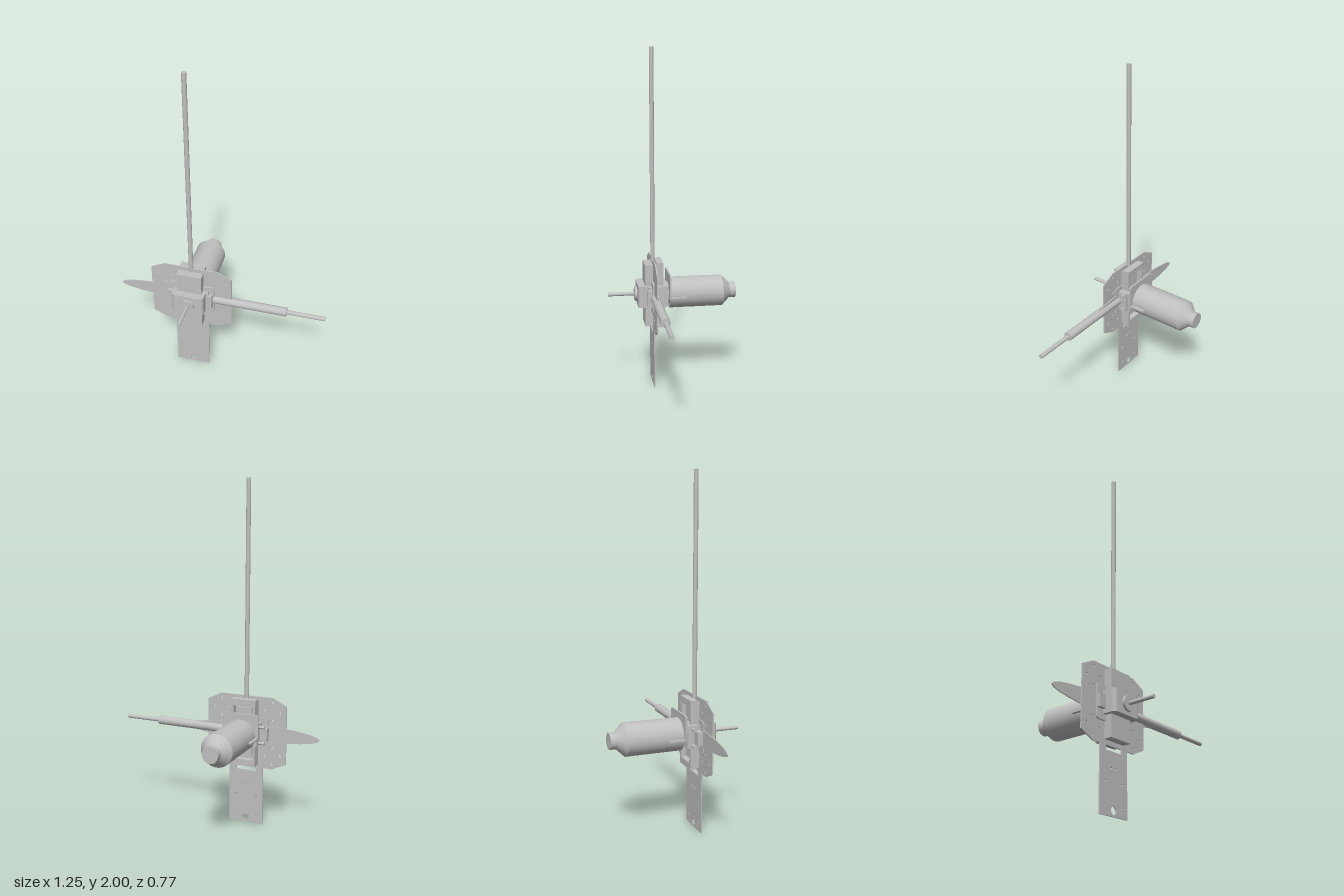
import * as THREE from 'three';

const CX = -0.18, CY = 0.562, ROD_Z = 0.117;

export function createModel() {
  const model = new THREE.Group();
  model.name = 'motorAssembly';
  const grey = new THREE.MeshStandardMaterial({ color: 0xc0c0c0 });
  grey.name = 'grey';

  const add = (name, geo, x = 0, y = 0, z = 0) => {
    const m = new THREE.Mesh(geo, grey);
    m.name = name;
    m.position.set(x, y, z);
    model.add(m);
    return m;
  };
  // Box given by its limits
  const box = (name, x0, x1, y0, y1, z0, z1) =>
    add(name, new THREE.BoxGeometry(x1 - x0, y1 - y0, z1 - z0), (x0 + x1) / 2, (y0 + y1) / 2, (z0 + z1) / 2);
  const circle = (x, y, r) => new THREE.Path().absarc(x, y, r, 0, Math.PI * 2, true);
  const rect = (P, x0, x1, y0, y1) => {
    const s = new P();
    s.moveTo(x0, y0); s.lineTo(x1, y0); s.lineTo(x1, y1); s.lineTo(x0, y1); s.closePath();
    return s;
  };
  const roundRect = (x0, x1, y0, y1, r) => {
    const s = new THREE.Shape();
    s.absarc(x1 - r, y0 + r, r, -Math.PI / 2, 0);
    s.absarc(x1 - r, y1 - r, r, 0, Math.PI / 2);
    s.absarc(x0 + r, y1 - r, r, Math.PI / 2, Math.PI);
    s.absarc(x0 + r, y0 + r, r, Math.PI, Math.PI * 1.5);
    s.closePath();
    return s;
  };
  const extrude = (name, shape, z0, z1) =>
    add(name, new THREE.ExtrudeGeometry(shape, { depth: z1 - z0, bevelEnabled: false, curveSegments: 12 }), 0, 0, z0);
  const cylZ = (name, r, z0, z1, x = CX, y = CY) =>
    add(name, new THREE.CylinderGeometry(r, r, z1 - z0, 32).rotateX(Math.PI / 2), x, y, (z0 + z1) / 2);
  const cylX = (name, r, x0, x1, y = CY, z = ROD_Z) =>
    add(name, new THREE.CylinderGeometry(r, r, x1 - x0, 32).rotateZ(Math.PI / 2), (x0 + x1) / 2, y, z);

  // Chamfered mounting plate with a tongue below, mirrored about CX
  const half = [[0.105, 0], [0.105, 0.35], [0.16, 0.35], [0.245, 0.39], [0.245, 0.733], [0.16, 0.775]];
  const plate = new THREE.Shape();
  half.forEach(([x, y], i) => (i ? plate.lineTo(CX + x, y) : plate.moveTo(CX + x, y)));
  [...half].reverse().forEach(([x, y]) => plate.lineTo(CX - x, y));
  plate.closePath();
  plate.holes.push(circle(CX, 0.03, 0.02), rect(THREE.Path, CX - 0.06, CX + 0.06, 0.325, 0.35));
  const holes = [[0.207, 0.69], [0.16, 0.748], [0.16, 0.643], [0.113, 0.70], [0.207, 0.435], [0.16, 0.478],
    [0.16, 0.378], [0.113, 0.425], [0.017, 0.24], [0.065, 0.17], [0.065, 0.05]];
  for (const s of [-1, 1]) for (const [x, y] of holes) plate.holes.push(circle(CX + s * x, y, 0.006));
  extrude('mountingPlate', plate, 0.116, 0.123);

  // Thin elliptical blade behind the plate
  const blade = new THREE.Shape();
  blade.absellipse(-0.215, CY, 0.41, 0.05, 0, Math.PI * 2);
  extrude('blade', blade, 0.108, 0.114);

  // Upright rod
  add('uprightRod', new THREE.CylinderGeometry(0.013, 0.013, 1.26, 24), CX, 1.37, ROD_Z);

  // Central housing, with an open tray on its back
  box('housing', -0.255, -0.105, 0.376, 0.75, 0.1, 0.17);
  const tray = rect(THREE.Shape, -0.255, -0.105, 0.367, 0.762);
  tray.holes.push(rect(THREE.Path, -0.24, -0.12, 0.405, 0.725));
  extrude('rearTray', tray, 0.062, 0.102);
  box('trayRidge', -0.225, -0.135, 0.42, 0.71, 0.085, 0.101);

  // Bracket plate around the gearbox
  extrude('bracketPlate', roundRect(-0.32, -0.04, 0.468, 0.656, 0.015), 0.11, 0.133);

  // Gearbox: rounded at the front corners as seen from above
  const gb = new THREE.Shape();
  gb.moveTo(-0.277, -0.035);
  gb.lineTo(-0.085, -0.035);
  gb.lineTo(-0.085, -0.19);
  gb.quadraticCurveTo(-0.085, -0.213, -0.108, -0.213);
  gb.lineTo(-0.254, -0.213);
  gb.quadraticCurveTo(-0.277, -0.213, -0.277, -0.19);
  gb.closePath();
  const gearbox = new THREE.ExtrudeGeometry(gb, { depth: 0.127, bevelEnabled: false, curveSegments: 8 });
  add('gearbox', gearbox.rotateX(-Math.PI / 2), 0, 0.5, 0);

  // Output shaft
  cylZ('outputFlange', 0.042, 0.21, 0.228);
  cylZ('outputShaft', 0.011, 0.22, 0.385);

  // Side brackets and their bolts
  box('rightSideBracket', -0.322, -0.275, 0.525, 0.6, 0.077, 0.152);
  box('leftSideBracket', -0.087, -0.07, 0.5, 0.625, 0.053, 0.155);
  box('leftSideFoot', -0.075, -0.047, 0.515, 0.61, 0.128, 0.16);
  for (const y of [0.515, 0.61]) {
    cylX('rightBolt', 0.009, -0.312, -0.27, y, 0.067);
    cylX('leftBolt', 0.009, -0.09, -0.055, y, 0.075);
  }

  // Telescopic side arm
  cylX('armSleeve', 0.026, -0.085, 0.395);
  cylX('armRod', 0.0125, 0.39, 0.62);

  // Motor
  const profile = [[0, 0.06], [0.066, 0.06], [0.066, 0.02], [0.093, 0.02], [0.093, -0.3], [0.047, -0.347], [0.047, -0.385], [0, -0.385]];
  for (let i = 0; i < profile.length - 1; i++) {
    const pts = [profile[i + 1], profile[i]].map(([r, z]) => new THREE.Vector2(r, z));
    add('motorShell', new THREE.LatheGeometry(pts, 48).rotateX(Math.PI / 2), CX, CY, 0);
  }

  // Motor mount: upright plate and shelf
  extrude('motorMountPlate', roundRect(-0.29, -0.07, 0.548, 0.69, 0.015), 0.018, 0.028);
  box('motorMountShelf', -0.29, -0.07, 0.547, 0.557, -0.075, 0.028);

  return model;
}
